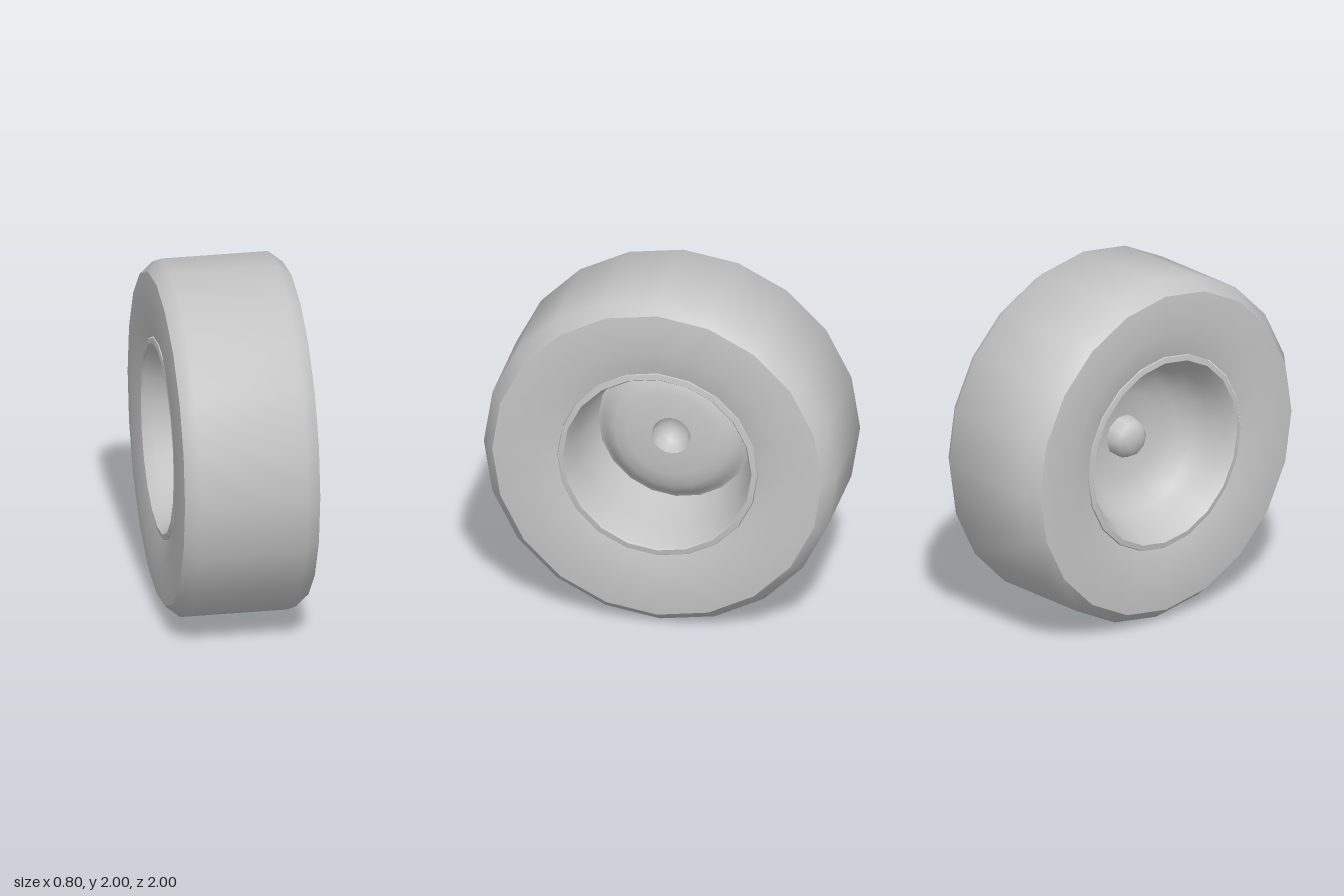
import * as THREE from 'three';
import { toCreasedNormals } from 'three/addons/utils/BufferGeometryUtils.js';

const grey = new THREE.MeshStandardMaterial({ color: 0xc6c6c6 });
grey.name = 'light grey';

// Turns a profile of [radius, x] points around the x axis
function turned(name, profile, sides, crease = 0.75) {
  const points = profile.map(([r, x]) => new THREE.Vector2(r, x));
  const lathe = new THREE.LatheGeometry(points, sides).rotateZ(-Math.PI / 2);
  const mesh = new THREE.Mesh(toCreasedNormals(lathe, crease), grey);
  mesh.name = name;
  mesh.position.y = 1;
  return mesh;
}

export function createModel() {
  const wheel = new THREE.Group();
  wheel.name = 'wheel';

  // Tyre: bulging walls, chamfered shoulders, flat tread
  const half = [[1, 0.3], [0.935, 0.38], [0.72, 0.4], [0.57, 0.365]];
  const mirrored = half.map(([r, x]) => [r, -x]).reverse();
  wheel.add(turned('tyre', [...mirrored, ...half], 20));

  // Deep side of the rim: lip, tapering barrel and domed disc
  wheel.add(turned('rimBarrel', [
    [0.57, 0.34], [0.565, 0.37], [0.535, 0.375], [0.525, 0.36],
    [0.495, 0.18], [0.44, -0.1],
  ], 20));
  wheel.add(turned('discFront', [
    [0.44, -0.1], [0.415, -0.085], [0.385, -0.04], [0.33, -0.005],
    [0.25, 0.015], [0.11, 0.02],
  ], 20));

  // Shallow side of the rim: bowl and lip
  wheel.add(turned('rimBowl', [
    [0.1, -0.02], [0.25, -0.035], [0.35, -0.075], [0.42, -0.14], [0.46, -0.22],
    [0.495, -0.31], [0.525, -0.36], [0.535, -0.375], [0.565, -0.37], [0.57, -0.34],
  ], 20));

  // Hub: a cup open to the deep side, its blunt nub showing in the bowl
  wheel.add(turned('hubCup', [
    [0.118, 0.015], [0.108, -0.03], [0.08, -0.075], [0.04, -0.1], [0, -0.105],
  ], 10));
  wheel.add(turned('hubNub', [
    [0, -0.135], [0.065, -0.13], [0.1, -0.105], [0.118, -0.06], [0.12, 0],
  ], 10));

  return wheel;
}
